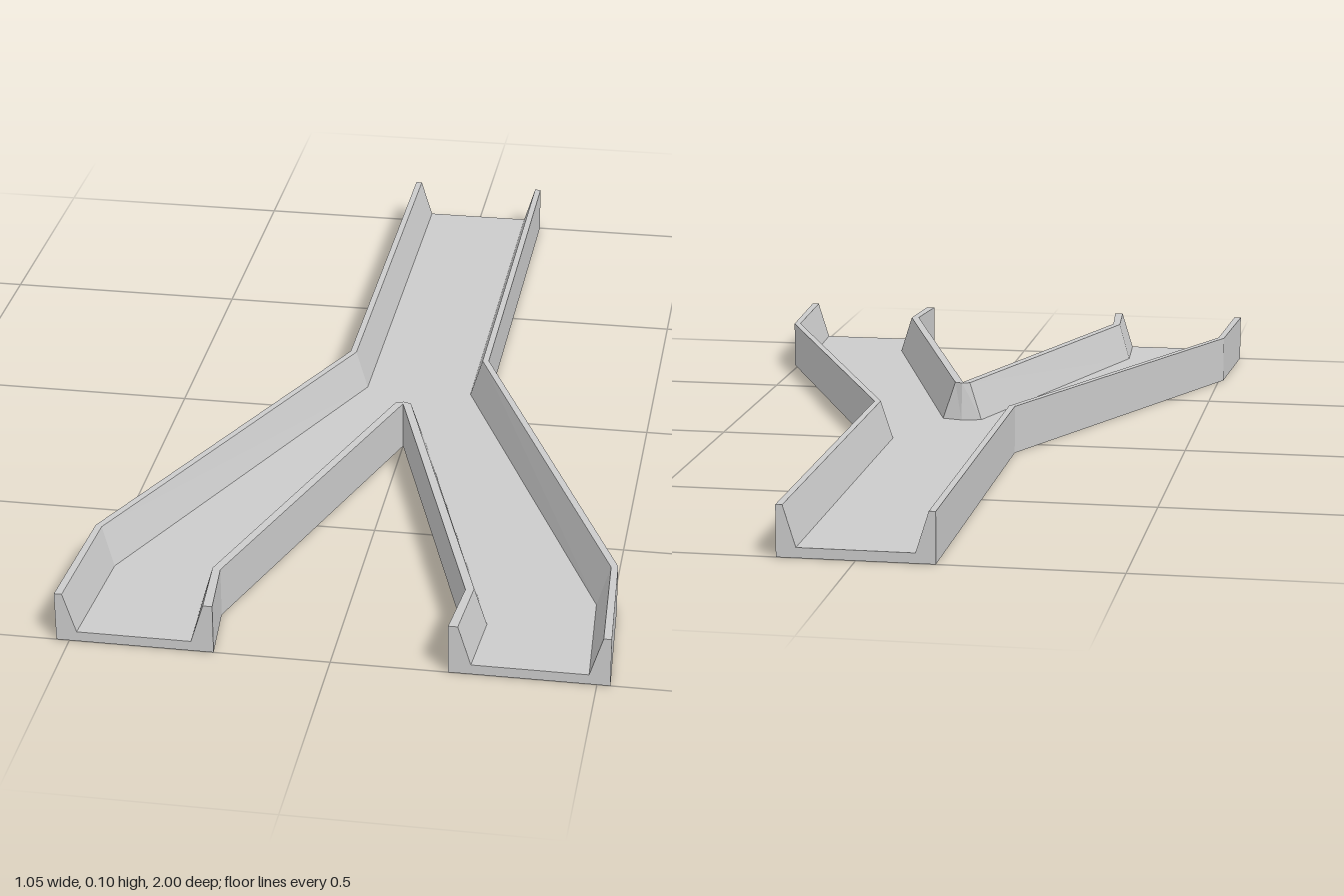
import * as THREE from 'three';

const HEIGHT = 0.1, FLOOR = 0.02;

// Each station: [x, z] of the outer face, the inner top edge and the foot of the slope
const outerRail = [
  [[0.15, -1], [0.137, -1], [0.112, -1]],
  [[0.15, -0.085], [0.137, -0.082], [0.112, -0.077]],
  [[0.51, 0.735], [0.497, 0.74], [0.472, 0.75]],
  [[0.525, 1], [0.51, 1], [0.485, 1]],
];
const forkRail = [
  [[0.222, 1], [0.24, 1], [0.265, 1]],
  [[0.235, 0.865], [0.251, 0.86], [0.275, 0.853]],
  [[0, 0.14], [0.016, 0.136], [0.042, 0.131]],
];
const forkTip = [[0, 0.14], [0, 0.13], [0, 0.121]];

const mirror = (rail) => rail.map((s) => s.map(([x, z]) => [-x, z])).reverse();
const leftRail = mirror(outerRail);
const divider = [...forkRail, forkTip, ...mirror(forkRail)];

// Wall: outer face, flat rim and sloped inner face lofted along a rail
function wallGeometry(rail) {
  const sections = rail.map(([o, t, f]) => [
    [o[0], 0, o[1]], [o[0], HEIGHT, o[1]], [t[0], HEIGHT, t[1]], [f[0], FLOOR, f[1]],
  ]);
  const pos = [];
  for (let i = 0; i < sections.length - 1; i++) {
    for (let k = 0; k < 3; k++) {
      const a = sections[i][k], b = sections[i + 1][k];
      const c = sections[i + 1][k + 1], d = sections[i][k + 1];
      pos.push(...a, ...d, ...c, ...a, ...c, ...b);
    }
  }
  const geo = new THREE.BufferGeometry();
  geo.setAttribute('position', new THREE.Float32BufferAttribute(pos, 3));
  geo.computeVertexNormals();
  return geo;
}

const flat = (points) =>
  new THREE.ShapeGeometry(new THREE.Shape(points.map(([x, y]) => new THREE.Vector2(x, y))));

// U-shaped end face between two wall stations
function endGeometry([o1, t1, f1], [o2, t2, f2]) {
  return flat([
    [o1[0], 0], [o2[0], 0], [o2[0], HEIGHT], [t2[0], HEIGHT],
    [f2[0], FLOOR], [f1[0], FLOOR], [t1[0], HEIGHT], [o1[0], HEIGHT],
  ]);
}

export function createModel() {
  const group = new THREE.Group();
  group.name = 'forkedChannel';
  const material = new THREE.MeshStandardMaterial({ color: 0xcccccc, flatShading: true });
  const add = (name, geometry) => {
    const mesh = new THREE.Mesh(geometry, material);
    mesh.name = name;
    group.add(mesh);
  };

  // Walls, running in one loop around the plan
  add('leftWall', wallGeometry(outerRail));
  add('forkWall', wallGeometry(divider));
  add('rightWall', wallGeometry(leftRail));

  // Channel floor and underside
  const loop = [...outerRail, ...divider, ...leftRail];
  add('channelFloor', flat(loop.map((s) => [s[2][0], -s[2][1]]))
    .rotateX(-Math.PI / 2).translate(0, FLOOR, 0));
  add('underside', flat(loop.map((s) => s[0])).rotateX(Math.PI / 2));

  // Open ends of the trunk and both branches
  add('leftBranchEnd', endGeometry(forkRail[0], outerRail[3]).translate(0, 0, 1));
  add('rightBranchEnd', endGeometry(leftRail[0], divider[divider.length - 1]).translate(0, 0, 1));
  add('trunkEnd', endGeometry(leftRail[3], outerRail[0]).rotateY(Math.PI).translate(0, 0, -1));

  return group;
}
